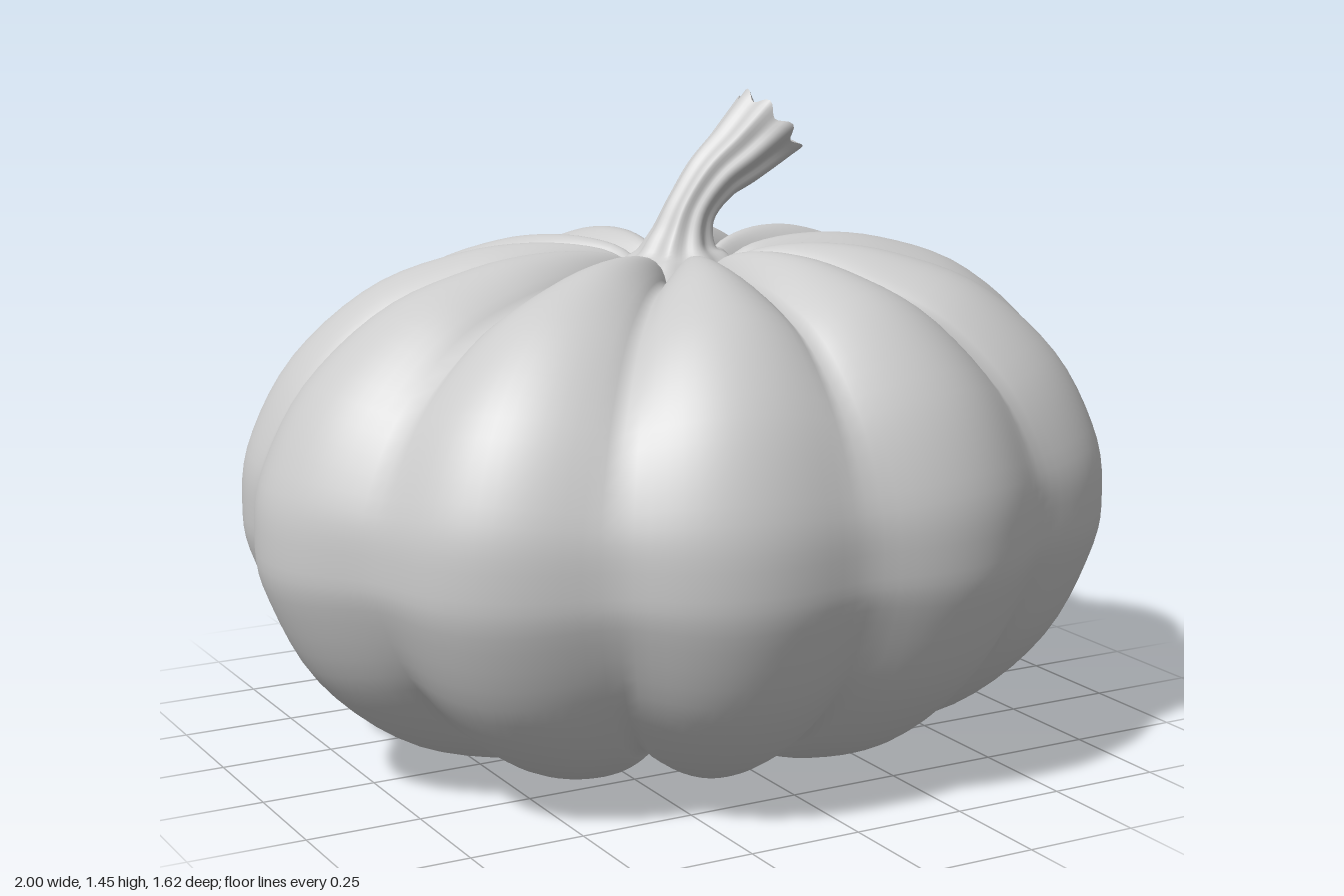
import * as THREE from 'three';

const RAD = Math.PI / 180;

// Builds a skin from closed rings; point(i, j) gives [x, y, z], rings run upward.
function loft(rings, cols, point) {
  const pos = [], index = [];
  for (let i = 0; i < rings; i++)
    for (let j = 0; j < cols; j++) pos.push(...point(i, j));
  for (let i = 0; i < rings - 1; i++)
    for (let j = 0; j < cols; j++) {
      const a = i * cols + j, b = i * cols + (j + 1) % cols;
      index.push(a, a + cols, b, a + cols, b + cols, b);
    }
  const g = new THREE.BufferGeometry();
  g.setAttribute('position', new THREE.Float32BufferAttribute(pos, 3));
  g.setIndex(index);
  g.computeVertexNormals();
  return g;
}

function part(name, geometry, options = {}) {
  const mesh = new THREE.Mesh(geometry, new THREE.MeshStandardMaterial({ color: 0xcccccc, ...options }));
  mesh.name = name;
  return mesh;
}

// Ribbed body: a dimpled profile swept round, pressed inward at uneven grooves
function bodyGeometry() {
  const grooves = [90, 122, 156, 194, 222, 249, 282, 314, 346, 383, 417, 450];
  const perRib = 16, rings = 73, depthScaleZ = 0.82;
  const profile = new THREE.SplineCurve([
    [0, 0.05], [0.06, 0.045], [0.14, 0.012], [0.28, 0], [0.48, 0.025], [0.7, 0.1],
    [0.88, 0.25], [0.98, 0.44], [1, 0.56], [0.98, 0.7], [0.88, 0.88], [0.7, 1.03],
    [0.5, 1.1], [0.33, 1.12], [0.18, 1.105], [0.09, 1.06], [0, 1.03],
  ].map(p => new THREE.Vector2(...p)));

  return loft(rings, (grooves.length - 1) * perRib, (i, j) => {
    const p = profile.getPoint(i / (rings - 1));
    const t = profile.getTangent(i / (rings - 1));
    const rib = Math.floor(j / perRib), f = (j % perRib) / perRib;
    const angle = RAD * THREE.MathUtils.lerp(grooves[rib], grooves[rib + 1], f);
    // Grooves are soft at the equator and sharp creases near both ends
    const s = Math.sin(Math.PI * f);
    const sharp = THREE.MathUtils.smoothstep(Math.abs(p.y - 0.56), 0.1, 0.5);
    const k = 0.4;
    const soft = (Math.hypot(s, k) - k) / (Math.hypot(1, k) - k);
    const bulge = THREE.MathUtils.lerp(soft, Math.pow(s, 0.8), sharp);
    const press = (0.05 + 0.02 * sharp) * Math.min(1, p.x / 0.16) * (1 - bulge);
    const r = Math.max(0, p.x - t.y * press), y = p.y + t.x * press;
    return [r * Math.cos(angle), y, depthScaleZ * r * Math.sin(angle)];
  });
}

export function createModel() {
  const model = new THREE.Group();
  model.name = 'pumpkin';
  model.add(part('ribbedBody', bodyGeometry()));

  // Small flat scar under the body
  const scar = part('blossomScar', new THREE.CylinderGeometry(0.085, 0.085, 0.03, 24));
  scar.position.y = 0.04;
  scar.scale.z = 0.82;
  model.add(scar);

  // Stem: centre line in x and y, with the radius stored as the third value
  const path = new THREE.CatmullRomCurve3([
    [0, 1.045, 0.165], [0, 1.085, 0.11], [0.002, 1.12, 0.074], [0.022, 1.185, 0.055],
    [0.075, 1.255, 0.06], [0.145, 1.308, 0.073], [0.217, 1.367, 0.088],
  ].map(p => new THREE.Vector3(...p)));
  const cols = 64, flutes = 8;
  const stemPoint = (u, j, scale = 1, sink = 0) => {
    const p = path.getPoint(u), t = path.getTangent(u);
    t.z = 0;
    t.normalize();
    const a = j / cols * Math.PI * 2, wave = Math.cos(flutes * a);
    const r = p.z * (1 + 0.07 * wave) * scale;
    const along = 0.01 * wave * scale * THREE.MathUtils.smoothstep(u, 0.85, 1) - sink;
    return [
      p.x + t.y * r * Math.cos(a) + t.x * along,
      p.y - t.x * r * Math.cos(a) + t.y * along,
      0.008 * u + r * Math.sin(a),
    ];
  };
  const stem = new THREE.Group();
  stem.name = 'stem';
  stem.add(part('flutedStalk', loft(33, cols, (i, j) => stemPoint(i / 32, j))));

  // Cut end with radial ridges and a shallow hollow
  const cut = [[1, 0], [0.85, 0.002], [0.25, 0.008], [0.12, 0.012], [0, 0.012]];
  stem.add(part('cutEnd', loft(cut.length, cols, (i, j) => stemPoint(1, j, ...cut[i]))));
  model.add(stem);
  return model;
}
